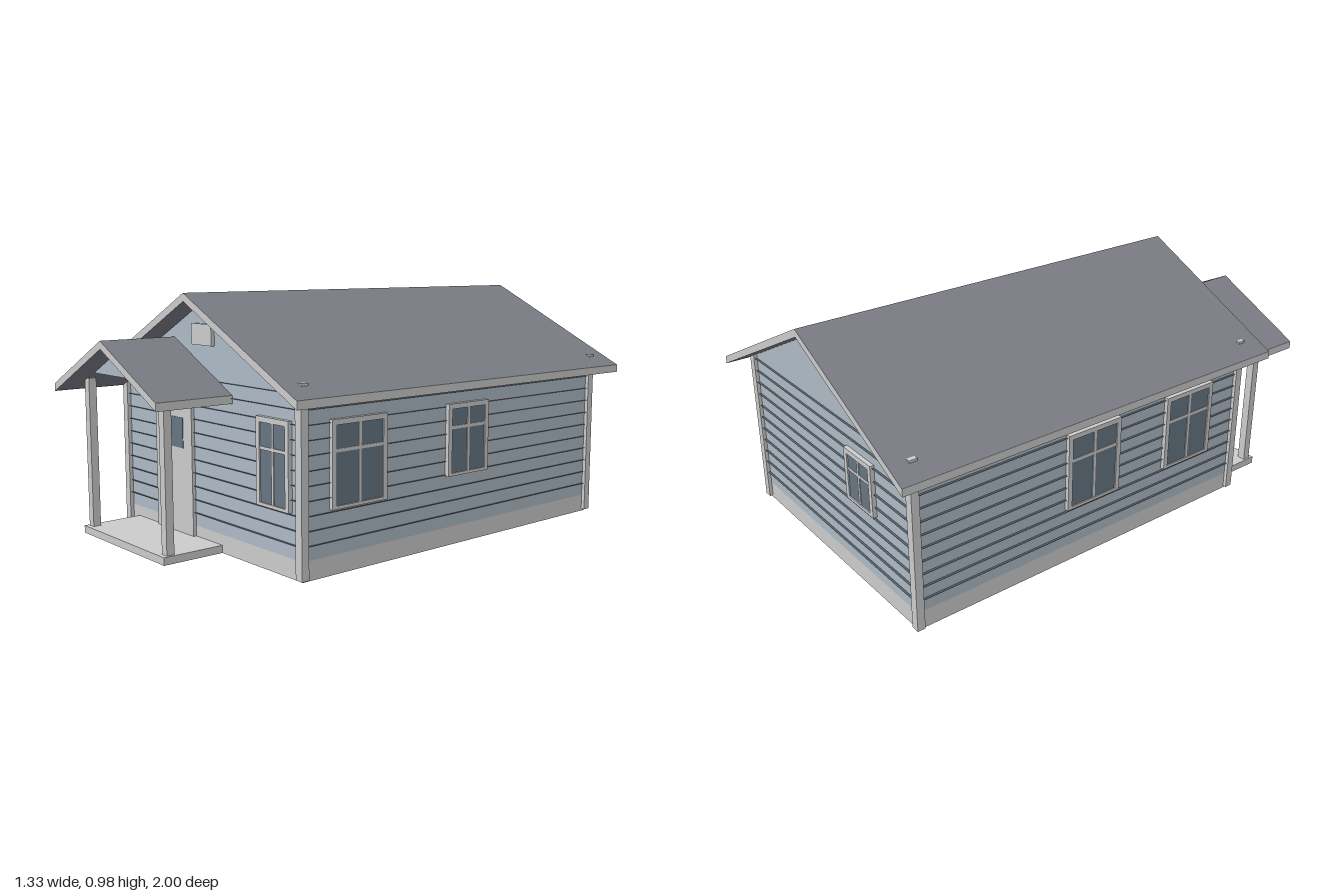
import * as THREE from 'three';

const mat = (color, side = THREE.FrontSide) =>
  new THREE.MeshStandardMaterial({ color, side, flatShading: true });
const trim = mat(0xcccccc);
const trimThin = mat(0xcccccc, THREE.DoubleSide);
const wallMat = mat(0xaebac5, THREE.DoubleSide);
const lapMat = mat(0x56606a, THREE.DoubleSide);
const roofMat = mat(0x7b7d85);
const glassMat = mat(0x667682);

function add(parent, name, geometry, material) {
  const mesh = new THREE.Mesh(geometry, material);
  mesh.name = name;
  parent.add(mesh);
  return mesh;
}

// Box given by its limits on each axis
function box(parent, name, [x0, x1], [y0, y1], [z0, z1], material = trim) {
  const m = add(parent, name, new THREE.BoxGeometry(x1 - x0, y1 - y0, z1 - z0), material);
  m.position.set((x0 + x1) / 2, (y0 + y1) / 2, (z0 + z1) / 2);
  return m;
}

const shapeOf = (pts) => new THREE.Shape(pts.map(([x, y]) => new THREE.Vector2(x, y)));

// Gabled roof slab with pale ends and eave boards
function gableRoof(name, cx, half, ridge, eave, t, z0, z1) {
  const g = new THREE.Group();
  g.name = name;
  const shape = shapeOf([
    [-half, eave - t], [0, ridge - t], [half, eave - t],
    [half, eave], [0, ridge], [-half, eave],
  ]);
  const geo = new THREE.ExtrudeGeometry(shape, { depth: z1 - z0, bevelEnabled: false });
  add(g, 'roofSlab', geo, [trim, roofMat]).position.z = z0;
  for (const s of [-1, 1]) {
    const x = s * half;
    box(g, 'eaveBoard', [x - 0.001, x + 0.001], [eave - t, eave], [z0, z1]);
  }
  g.position.x = cx;
  return g;
}

// Window facing +z, centred on its origin; barY is the height of the cross bar
function windowUnit(w, h, barY) {
  const g = new THREE.Group();
  g.name = 'window';
  const f = 0.02, sill = 0.012, a = w / 2, b = h / 2, d = [0, 0.017];
  box(g, 'glass', [-a + f, a - f], [-b + sill, b - f], [-0.004, 0.012], glassMat);
  box(g, 'frameLeft', [-a, -a + f], [-b, b], d);
  box(g, 'frameRight', [a - f, a], [-b, b], d);
  box(g, 'frameTop', [-a + f, a - f], [b - f, b], d);
  box(g, 'frameSill', [-a + f, a - f], [-b, -b + sill], d);
  box(g, 'uprightBar', [-0.006, 0.006], [-b + sill, b - f], [0, 0.015]);
  box(g, 'crossBar', [-a + f, a - f], [barY - 0.006, barY + 0.006], [0, 0.015]);
  return g;
}

const W = 0.58, FRONT = 0.68, BACK = -0.912, BAND = 0.072, EAVE = 0.657, PEAK = 0.945;

// One wall facing +z: base band, plain sheet and thin siding laps
function wall(name, half, peak) {
  const g = new THREE.Group();
  g.name = name;
  const pts = [[-half, BAND], [half, BAND], [half, EAVE]];
  if (peak) pts.push([0, peak]);
  pts.push([-half, EAVE]);
  add(g, 'wallSheet', new THREE.ShapeGeometry(shapeOf(pts)), wallMat);
  add(g, 'baseBand', new THREE.PlaneGeometry(2 * half, BAND), trimThin).position.y = BAND / 2;
  for (let i = 1; i <= 11; i++) {
    const lap = add(g, 'sidingLap', new THREE.PlaneGeometry(2 * half, 0.01), lapMat);
    lap.rotation.x = -Math.PI / 2;
    lap.position.set(0, BAND + i * 0.0525, 0.005);
  }
  return g;
}

export function createModel() {
  const house = new THREE.Group();
  house.name = 'house';

  // Walls
  const midZ = (FRONT + BACK) / 2, halfZ = (FRONT - BACK) / 2;
  const frontWall = wall('frontWall', W, PEAK);
  frontWall.position.z = FRONT;
  const backWall = wall('backWall', W, PEAK);
  backWall.position.z = BACK;
  backWall.rotation.y = Math.PI;
  house.add(frontWall, backWall);
  for (const s of [-1, 1]) {
    const side = wall(s > 0 ? 'leftWall' : 'rightWall', halfZ, 0);
    side.position.set(s * W, 0, midZ);
    side.rotation.y = s * Math.PI / 2;
    house.add(side);
  }

  // Corner posts, whose tops just break through the roof
  for (const s of [-1, 1]) {
    for (const [z0, z1] of [[0.664, 0.696], [-0.926, -0.894]]) {
      box(house, 'cornerPost', [s * 0.578 - 0.017, s * 0.578 + 0.017], [0.008, 0.69], [z0, z1]);
    }
  }

  // Windows: x, z, turn, width, bottom, top, cross bar height
  const q = Math.PI / 2;
  const windows = [
    [0.432, FRONT, 0, 0.185, 0.235, 0.555, 0.443],
    [W, 0.43, q, 0.26, 0.238, 0.555, 0.445],
    [W, -0.132, q, 0.226, 0.275, 0.555, 0.463],
    [-W, 0.392, -q, 0.26, 0.238, 0.555, 0.445],
    [-W, -0.115, -q, 0.26, 0.238, 0.555, 0.445],
    [-0.245, BACK, Math.PI, 0.185, 0.345, 0.555, 0.475],
  ];
  for (const [x, z, turn, w, y0, y1, bar] of windows) {
    const mid = (y0 + y1) / 2;
    const unit = windowUnit(w, y1 - y0, bar - mid);
    unit.position.set(x, mid, z);
    unit.rotation.y = turn;
    house.add(unit);
  }

  // Door with its pane, and the gable vent
  box(house, 'door', [-0.34, -0.08], [0.03, 0.552], [FRONT - 0.008, FRONT + 0.014]);
  box(house, 'doorGlass', [-0.28, -0.14], [0.37, 0.49], [FRONT, FRONT + 0.016], glassMat);
  box(house, 'gableVent', [-0.066, 0.066], [0.78, 0.86], [FRONT, FRONT + 0.015]);

  // Main roof
  house.add(gableRoof('mainRoof', 0, 0.665, 0.976, 0.646, 0.031, -1, 0.77));

  // Porch: floor, posts, gable panel and roof
  const porch = new THREE.Group();
  porch.name = 'porch';
  box(porch, 'porchFloor', [-0.514, 0.096], [0, 0.03], [FRONT, 0.934]);
  for (const x of [-0.489, 0.068]) {
    box(porch, 'porchPost', [x - 0.017, x + 0.017], [0.03, 0.632], [0.883, 0.915]);
  }
  const panel = shapeOf([[-0.232, 0.656], [0.232, 0.656], [0, 0.77]]);
  add(porch, 'porchGable', new THREE.ExtrudeGeometry(panel, { depth: 0.02, bevelEnabled: false }),
    wallMat).position.set(-0.21, 0, 0.889);
  porch.add(gableRoof('porchRoof', -0.21, 0.385, 0.8, 0.608, 0.031, FRONT, 1));
  house.add(porch);

  return house;
}
